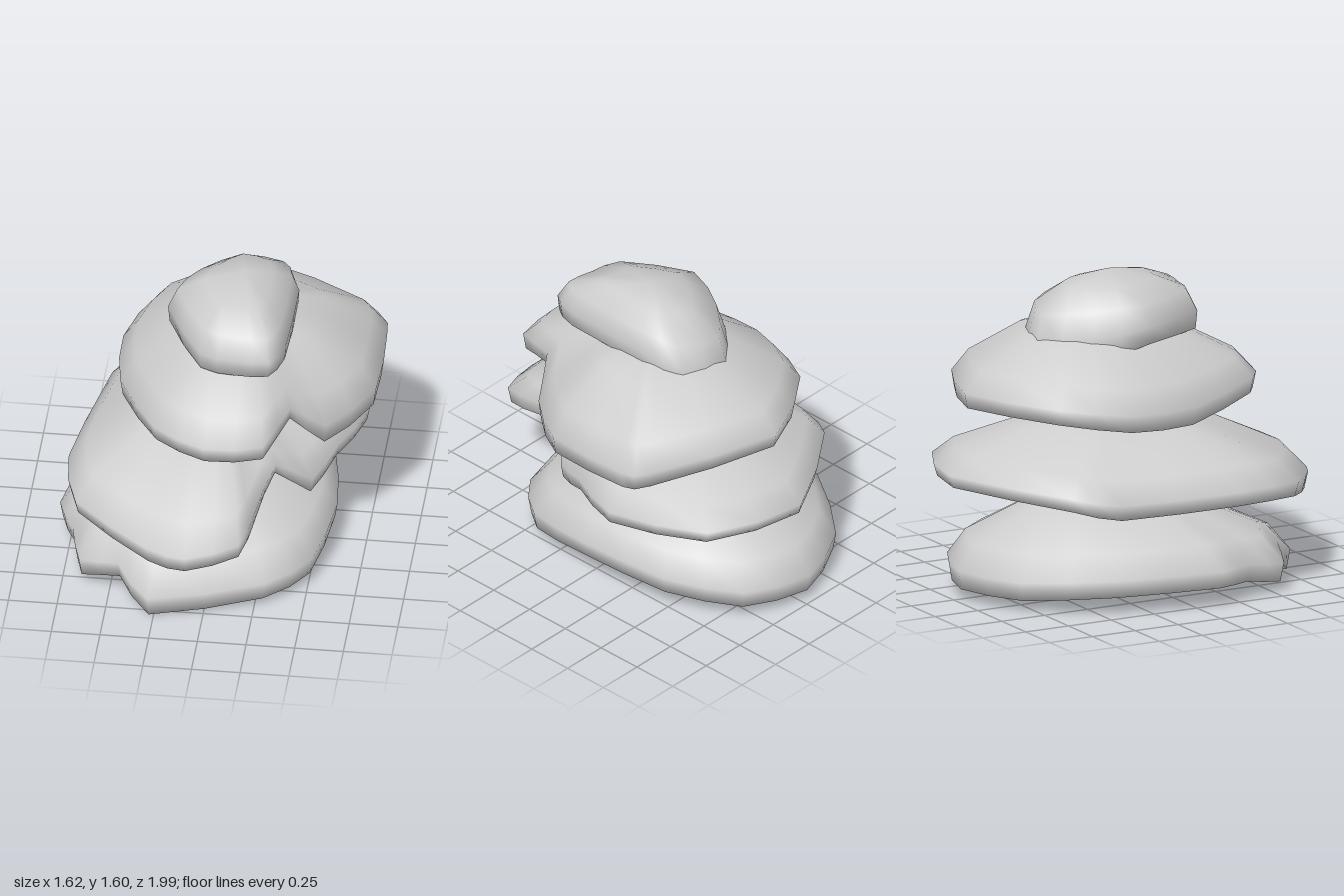
import * as THREE from 'three';

// Share of the rise from rim to peak reached by the rim edge, shoulder and crown.
const SCALES = [1, 0.88, 0.52];
const LOW_SKIRT = [0.18, 0.42, 0.7];
const FLAT_SKIRT = [0.15, 0.36, 0.65];
const FULL_SKIRT = [0.18, 0.42, 0.77];
const DOME = [0.28, 0.62, 0.85];
// How far each ring evens out the dips of the rim.
const EVENING = [0, 0.1, 0.5];
const SPAN_STEPS = 2;

const p = (x, y, z) => new THREE.Vector3(x, y, z);
const lerp = THREE.MathUtils.lerp;

// Closed smooth shell: underside, rolled rim and domed top lofted from one rim curve.
function tierGeometry(rimPoints, peak, underside, rises) {
  const curve = new THREE.CatmullRomCurve3(rimPoints, true, 'catmullrom', 0.3);
  const n = rimPoints.length * SPAN_STEPS;
  const rim = Array.from({ length: n }, (_, i) => curve.getPoint(i / n));
  const mean = rim.reduce((sum, v) => sum + v.y, 0) / n;

  const pos = [peak.x, underside, peak.z];
  const addRing = (scale, height) => rim.forEach((v) => pos.push(
    peak.x + (v.x - peak.x) * scale, height(v.y), peak.z + (v.z - peak.z) * scale));

  addRing(0.55, (y) => y + 0.09);
  addRing(0.9, (y) => y + 0.02);
  addRing(0.98, (y) => y);
  rises.forEach((rise, k) => addRing(SCALES[k],
    (y) => lerp(lerp(y, mean, EVENING[k]), peak.y, rise)));
  const rings = 3 + rises.length;
  const last = pos.length / 3;
  pos.push(peak.x, peak.y, peak.z);

  const index = [];
  const at = (r, i) => 1 + r * n + (i % n);
  for (let i = 0; i < n; i++) {
    index.push(0, at(0, i + 1), at(0, i));
    for (let r = 0; r < rings - 1; r++) {
      index.push(at(r, i), at(r, i + 1), at(r + 1, i));
      index.push(at(r, i + 1), at(r + 1, i + 1), at(r + 1, i));
    }
    index.push(at(rings - 1, i), at(rings - 1, i + 1), last);
  }
  const geometry = new THREE.BufferGeometry();
  geometry.setAttribute('position', new THREE.Float32BufferAttribute(pos, 3));
  geometry.setIndex(index);
  geometry.computeVertexNormals();
  return geometry;
}

export function createModel() {
  const group = new THREE.Group();
  group.name = 'layeredMound';
  const material = new THREE.MeshStandardMaterial({ color: 0xcccccc });
  material.name = 'light grey';

  const addTier = (name, rimPoints, peak, underside, rises) => {
    const mesh = new THREE.Mesh(tierGeometry(rimPoints, peak, underside, rises), material);
    mesh.name = name;
    group.add(mesh);
  };

  // Rim points run from the front round by +x, the back and -x.
  // Broad base with a small notch at the front
  addTier('bottomTier', [
    p(-0.28, 0, 0.81), p(0.3, 0.04, 0.65), p(0.52, 0.06, 0.42), p(0.6, 0.13, 0), p(0.53, 0.1, -0.5),
    p(0.32, 0.07, -0.86), p(-0.03, 0.06, -0.99), p(-0.4, 0.06, -0.83), p(-0.69, 0.09, -0.43),
    p(-0.81, 0.1, 0.12), p(-0.72, 0.09, 0.33), p(-0.66, 0.05, 0.56), p(-0.45, 0.11, 0.64),
  ], p(-0.06, 0.59, -0.18), 0.04, LOW_SKIRT);

  // Long front flap, a deep notch, then a drooping side lobe
  addTier('lowerMiddleTier', [
    p(-0.07, 0.41, 0.99), p(0.2, 0.46, 0.9), p(0.26, 0.53, 0.65), p(0.33, 0.64, 0.38), p(0.5, 0.45, 0.25),
    p(0.61, 0.53, 0.02), p(0.73, 0.54, -0.3), p(0.55, 0.57, -0.82), p(0.04, 0.58, -1),
    p(-0.55, 0.53, -0.61), p(-0.65, 0.48, -0.38), p(-0.75, 0.5, 0.25), p(-0.67, 0.49, 0.64),
    p(-0.27, 0.41, 0.92),
  ], p(0, 1, -0.08), 0.56, FLAT_SKIRT);

  addTier('upperMiddleTier', [
    p(0, 0.93, 0.74), p(0.3, 0.94, 0.7), p(0.41, 1.02, 0.43), p(0.58, 0.82, 0.33), p(0.8, 0.86, 0.02),
    p(0.8, 0.87, -0.46), p(0.74, 0.91, -0.6), p(0.1, 0.97, -0.88), p(-0.38, 0.95, -0.6),
    p(-0.53, 0.9, -0.25), p(-0.5, 0.89, 0.13), p(-0.27, 0.95, 0.6),
  ], p(0.15, 1.4, -0.1), 0.96, FULL_SKIRT);

  // Cap: overhangs in front, sinks into the tier below at the back
  addTier('topTier', [
    p(0.12, 1.27, 0.44), p(0.3, 1.29, 0.46), p(0.37, 1.3, 0.3), p(0.38, 1.3, -0.2), p(0.3, 1.16, -0.42),
    p(0.05, 1.1, -0.5), p(-0.16, 1.18, -0.28), p(-0.27, 1.28, 0), p(-0.06, 1.27, 0.39),
  ], p(0.12, 1.6, -0.03), 1.2, DOME);

  return group;
}
